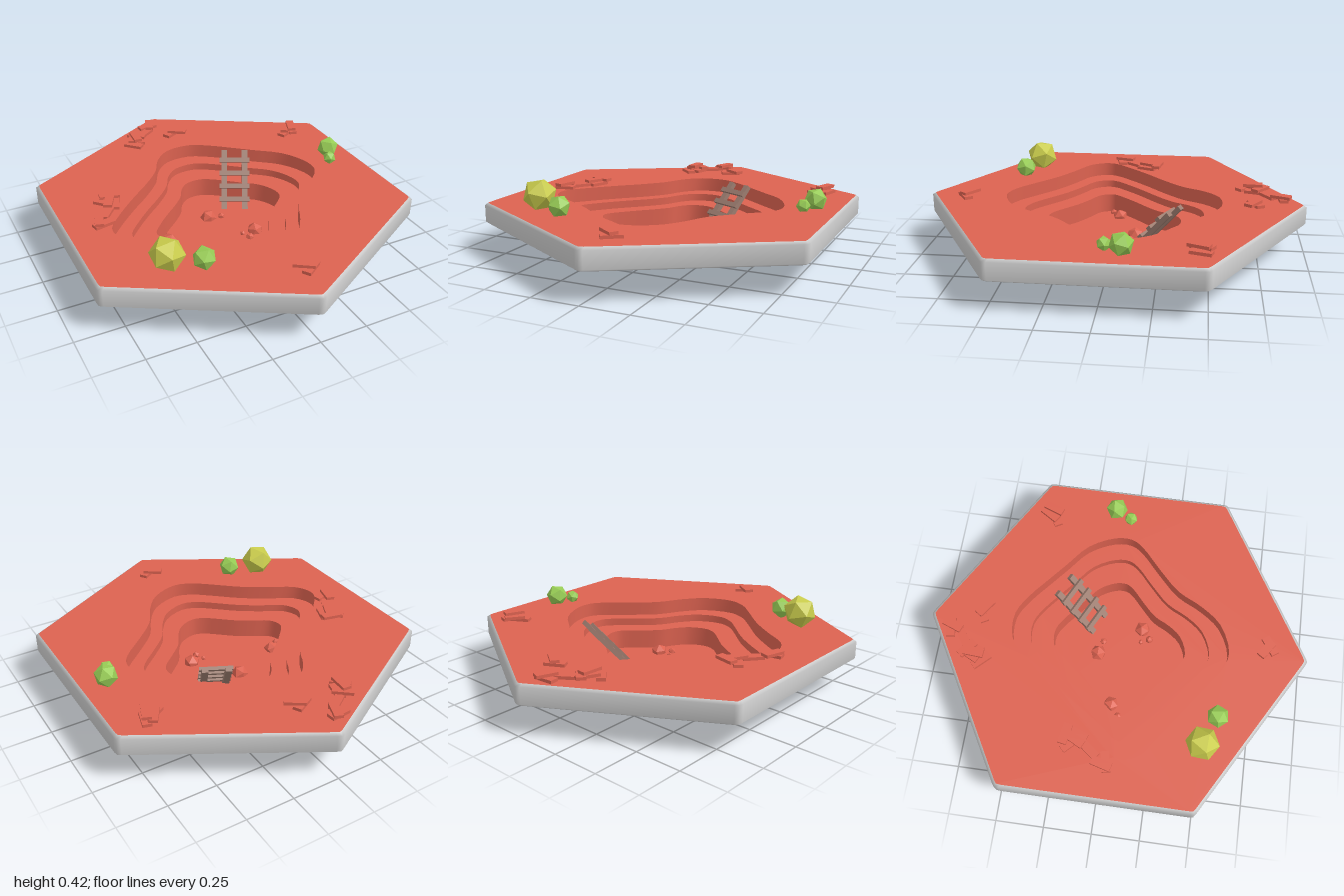
import * as THREE from 'three';

const TOP = 0.26;
const mat = (color, opts = {}) => new THREE.MeshStandardMaterial({ color, ...opts });
const both = { side: THREE.DoubleSide };

// Closed walls through a stack of rings; each ring is { pts: Vector2(x, z)[], y }
function loft(rings) {
  const n = rings[0].pts.length, pos = [], idx = [];
  for (const r of rings) for (const p of r.pts) pos.push(p.x, r.y, p.y);
  for (let k = 0; k < rings.length - 1; k++)
    for (let j = 0; j < n; j++) {
      const a = k * n + j, b = k * n + (j + 1) % n;
      idx.push(a, b, b + n, a, b + n, a + n);
    }
  const g = new THREE.BufferGeometry();
  g.setAttribute('position', new THREE.Float32BufferAttribute(pos, 3));
  g.setIndex(idx);
  g.computeVertexNormals();
  return g;
}

// Horizontal sheet with an optional hole
function sheet(outer, hole, y) {
  const flip = (pts) => pts.map((p) => new THREE.Vector2(p.x, -p.y));
  const shape = new THREE.Shape(flip(outer));
  if (hole) shape.holes.push(new THREE.Path(flip(hole)));
  return new THREE.ShapeGeometry(shape).rotateX(-Math.PI / 2).translate(0, y, 0);
}

// Hexagon with its points on the z axis and slightly rounded corners
function hexRing(r) {
  const pts = [];
  for (let i = 0; i < 6; i++)
    for (const [d, s] of [[-0.02, 0.992], [0, 1], [0.02, 0.992]]) {
      const a = i * Math.PI / 3 + d;
      pts.push(new THREE.Vector2(Math.sin(a) * r * s, Math.cos(a) * r * s));
    }
  return pts;
}

// Pit outline, scaled down for the deeper terraces
const outline = new THREE.CatmullRomCurve3([
  [0.06, -0.56], [-0.08, -0.55], [-0.17, -0.47], [-0.23, -0.36], [-0.33, -0.25], [-0.44, -0.15],
  [-0.56, -0.03], [-0.64, 0.07], [-0.645, 0.13], [-0.6, 0.21], [-0.48, 0.28], [-0.34, 0.37],
  [-0.2, 0.49], [-0.11, 0.56], [-0.01, 0.59], [0.14, 0.53], [0.23, 0.42], [0.3, 0.29],
  [0.42, 0.17], [0.54, 0.06], [0.575, 0], [0.572, -0.09], [0.5, -0.23], [0.38, -0.33],
  [0.27, -0.42], [0.17, -0.5],
].map(([x, z]) => new THREE.Vector3(x, 0, z)), true).getPoints(78).slice(0, -1);
const pitRing = (s) => outline.map((p) => new THREE.Vector2(p.x * s, p.z * s));

export function createModel() {
  const model = new THREE.Group();
  model.name = 'quarryTile';
  const add = (name, geo, material, parent = model) => {
    const m = new THREE.Mesh(geo, material);
    m.name = name;
    parent.add(m);
    return m;
  };
  const group = (name) => {
    const g = new THREE.Group();
    g.name = name;
    model.add(g);
    return g;
  };
  const earth = mat(0xdc6250, both);
  const stone = mat(0xdc6250, { flatShading: true });

  // Bevelled tile edge, open underneath
  add('tileRim', loft([
    [0.985, 0.15], [1, 0.16], [1, 0.248], [0.982, TOP],
  ].map(([r, y]) => ({ pts: hexRing(r), y }))), mat(0xcccccc, both));

  // Ground sheet and three terraces going down
  const rings = [1, 0.835, 0.62].map(pitRing);
  const floors = [TOP, 0.185, 0.145, 0.04];
  add('ground', sheet(hexRing(0.982), rings[0], TOP), earth);
  rings.forEach((pts, i) => {
    add('pitWall' + (i + 1), loft([{ pts, y: floors[i] }, { pts, y: floors[i + 1] }]), earth);
    add(i < 2 ? 'ledge' + (i + 1) : 'pitFloor', sheet(pts, rings[i + 1], floors[i + 1]), earth);
  });

  // Rocks on the pit floor: x, y, z, radius
  const rocks = group('rocks');
  [[-0.03, 0.043, -0.105, 0.045], [-0.31, 0.043, 0.005, 0.043], [0.14, 0.043, 0.12, 0.045],
    [0.04, 0.045, -0.085, 0.02], [-0.37, 0.045, 0.05, 0.02], [0.085, 0.045, 0.165, 0.022],
    [0.065, 0.045, 0.12, 0.014],
  ].forEach(([x, y, z, r], i) => {
    const m = add('rock', new THREE.IcosahedronGeometry(r), stone, rocks);
    m.position.set(x, y, z);
    m.rotation.set(i * 0.7, i * 1.1, 0);
  });

  // Round bushes: x, y, z, radius, colour
  const bushes = group('bushes');
  [[-0.525, 0.335, 0.495, 0.088, 0xc9cc4c], [-0.37, 0.305, 0.56, 0.059, 0x97cc55],
    [0.73, 0.305, -0.105, 0.06, 0x97cc55], [0.69, 0.286, -0.022, 0.037, 0x97cc55],
  ].forEach(([x, y, z, r, c], i) => {
    const m = add('bush', new THREE.IcosahedronGeometry(r), mat(c, { flatShading: true }), bushes);
    m.position.set(x, y, z);
    m.rotation.set(0.3 + i * 0.4, i * 0.9, 0.2);
  });

  // Piles of flat stone slabs: x, z, turn, layer
  const slabs = group('stoneSlabs');
  const slab = new THREE.BoxGeometry(0.105, 0.016, 0.045);
  [[-0.07, -0.88, 0.1, 0], [-0.06, -0.87, 1.2, 1], [-0.11, -0.81, 0.6, 0],
    [-0.23, -0.69, -0.8, 0], [-0.17, -0.74, 1.3, 0], [-0.21, -0.75, 1.1, 1], [-0.2, -0.73, 1.5, 2],
    [-0.18, -0.77, -0.7, 1], [0.03, -0.735, 0.5, 0], [0.06, -0.72, -0.6, 1],
    [0.65, -0.44, 0.5, 0], [0.7, -0.46, 1.3, 0], [0.66, -0.47, 1.0, 1], [0.69, -0.45, 1.2, 2],
    [-0.55, -0.13, 1.2, 0], [-0.6, -0.16, -0.8, 0], [-0.56, -0.19, -0.2, 1], [-0.58, -0.14, 1.1, 1],
    [-0.62, -0.06, 0.9, 0], [-0.67, 0.03, 0.2, 0], [-0.685, 0.01, 1.3, 1],
    [0.055, 0.8, 0.6, 0], [0.03, 0.78, -0.6, 1],
  ].forEach(([x, z, turn, layer]) => {
    const m = add('slab', slab, stone, slabs);
    m.position.set(x, TOP + 0.008 + layer * 0.015, z);
    m.rotation.y = turn;
  });

  // Leaning ladder, built upright and then tipped back
  const ladder = group('ladder');
  const wood = mat(0x9c7c6f, { flatShading: true });
  for (const s of [-1, 1])
    add('ladderRail', new THREE.BoxGeometry(0.032, 0.34, 0.025), wood, ladder).position.x = s * 0.058;
  for (let i = 0; i < 4; i++)
    add('ladderRung', new THREE.BoxGeometry(0.17, 0.026, 0.018), wood, ladder)
      .position.set(0, -0.115 + i * 0.075, 0.02);
  ladder.rotation.set(-0.72, -0.46, 0, 'YXZ');
  ladder.position.set(0.193, 0.165, -0.225);

  return model;
}
